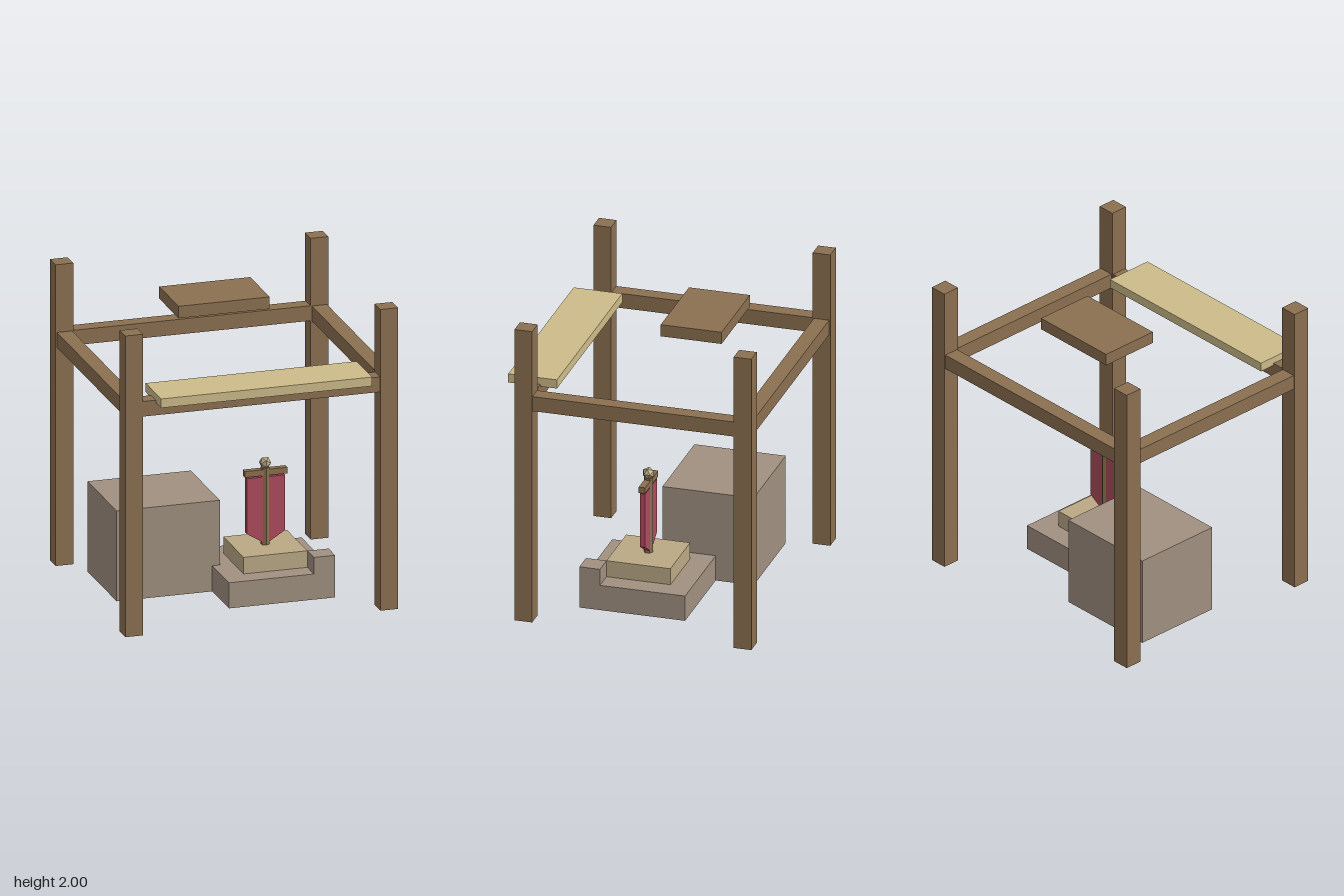
import * as THREE from 'three';

const mat = (color) => new THREE.MeshStandardMaterial({ color, flatShading: true });

export function createModel() {
  const model = new THREE.Group();
  const wood = mat(0x8b7050);
  const stone = mat(0xa09080);
  const sand = mat(0xbaa985);
  const paleWood = mat(0xcdbb8a);
  const cloth = mat(0xb04a5e);

  const add = (name, geometry, material, x, y, z, parent = model) => {
    const mesh = new THREE.Mesh(geometry, material);
    mesh.name = name;
    mesh.position.set(x, y, z);
    parent.add(mesh);
    return mesh;
  };
  // Box given by its extents along each axis
  const box = (name, material, [x0, x1], [y0, y1], [z0, z1], parent) =>
    add(name, new THREE.BoxGeometry(x1 - x0, y1 - y0, z1 - z0), material,
      (x0 + x1) / 2, (y0 + y1) / 2, (z0 + z1) / 2, parent);

  // Timber frame: four posts joined by four beams
  const frame = new THREE.Group();
  frame.name = 'frame';
  model.add(frame);
  const beamY = [1.45, 1.55];
  for (const z of [0.668, -0.772]) {
    const end = z > 0 ? 'front' : 'back';
    for (const side of [1, -1]) {
      add(`${end}${side > 0 ? 'Left' : 'Right'}Post`, new THREE.BoxGeometry(0.116, 2, 0.116),
        wood, side * 0.84, 1, z, frame);
    }
    box(`${end}Beam`, wood, [-0.8, 0.8], beamY, [z - 0.05, z + 0.05], frame);
  }
  for (const side of [1, -1]) {
    add(side > 0 ? 'leftBeam' : 'rightBeam', new THREE.BoxGeometry(0.1, 0.1, 1.36),
      wood, side * 0.84, 1.5, -0.052, frame);
  }

  // Boards at the top
  box('frontPlank', paleWood, [-0.695, 0.695], [1.535, 1.595], [0.51, 0.83]);
  box('raisedBoard', wood, [-0.3, 0.3], [1.8, 1.88], [-0.45, -0.05]);

  // Stone blocks and stepped plinth
  box('largeBlock', stone, [-0.74, -0.06], [0, 0.6], [-0.55, 0.05]);
  box('plinthBase', stone, [-0.11, 0.59], [0, 0.17], [-0.3, 0.395]);
  box('plinthCorner', stone, [0.45, 0.59], [0.17, 0.28], [0.26, 0.395]);
  box('plinthStep', sand, [0.03, 0.45], [0.17, 0.28], [-0.16, 0.26]);

  // Banner on a six-sided pole
  const banner = new THREE.Group();
  banner.name = 'banner';
  banner.position.set(0.238, 0, 0.05);
  model.add(banner);
  add('pole', new THREE.CylinderGeometry(0.029, 0.029, 0.51, 6), wood, 0, 0.535, 0, banner);
  add('crossbar', new THREE.BoxGeometry(0.28, 0.04, 0.042), wood, 0, 0.76, 0, banner);
  add('finial', new THREE.IcosahedronGeometry(0.04, 0), sand, 0, 0.82, 0, banner);
  const outline = new THREE.Shape([
    [-0.125, 0.73], [-0.125, 0.363], [0, 0.284], [0.125, 0.363], [0.125, 0.73],
  ].map(([x, y]) => new THREE.Vector2(x, y)));
  add('cloth', new THREE.ExtrudeGeometry(outline, { depth: 0.035, bevelEnabled: false }),
    cloth, 0, 0, -0.0175, banner);

  return model;
}
